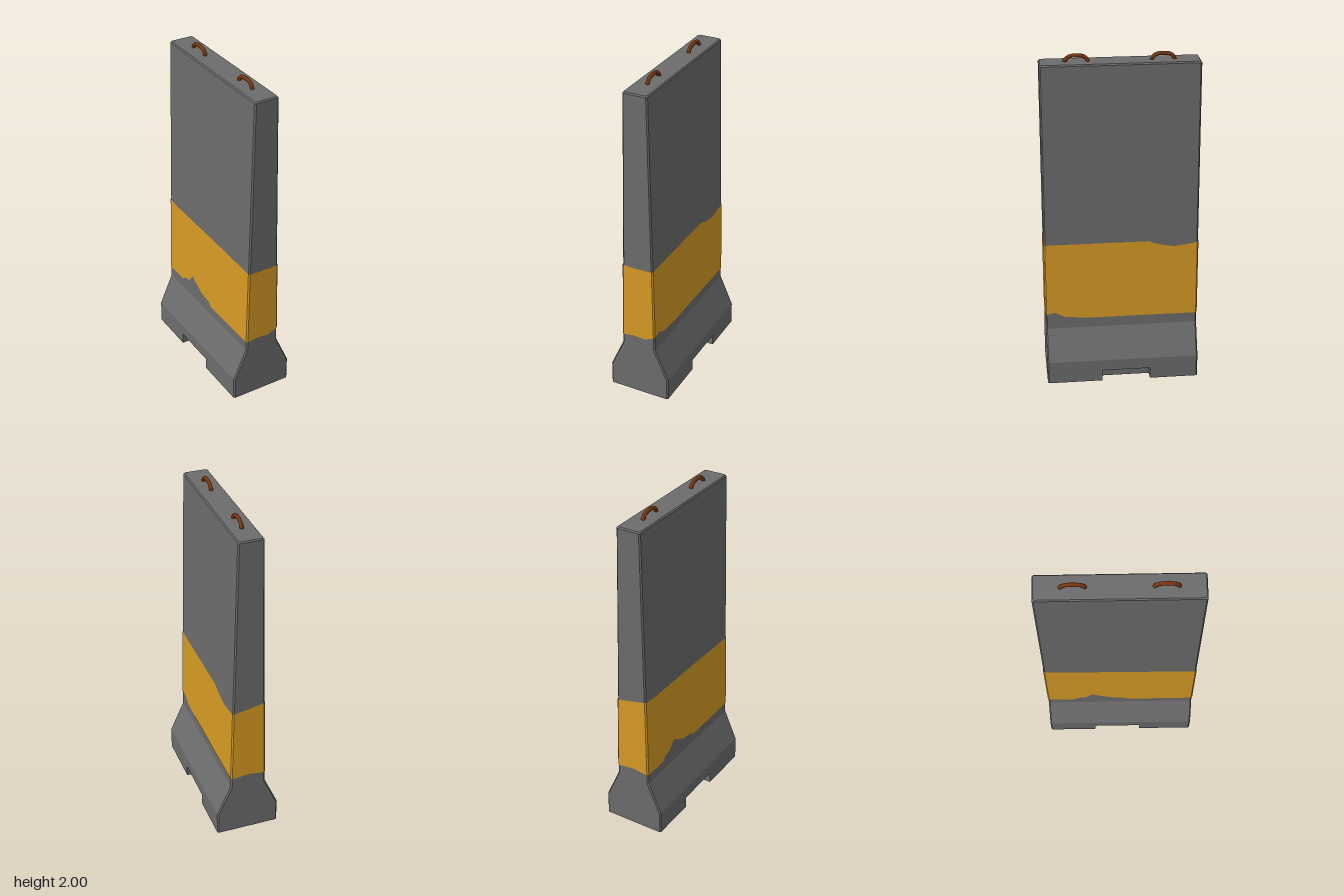
import * as THREE from 'three';

const HL = 0.457; // half length
const CH = 0.008; // corner chamfer

const concrete = new THREE.MeshStandardMaterial({ color: 0x6c6c6c });
concrete.name = 'concrete grey';
const paint = new THREE.MeshStandardMaterial({ color: 0xd69b24, side: THREE.DoubleSide });
paint.name = 'warning yellow';
const rust = new THREE.MeshStandardMaterial({ color: 0x763510 });
rust.name = 'rusty steel';

// Chamfered rectangle running from +x towards +z
function ring(hl, hw, y) {
  const a = hl - CH, b = hw - CH;
  return [[hl, -b], [hl, b], [a, hw], [-a, hw], [-hl, b], [-hl, -b], [-a, -hw], [a, -hw]]
    .map(([x, z]) => new THREE.Vector3(x, y, z));
}

// Skin between stacked closed loops, with hard edges
function loft(rings, caps) {
  const pts = [];
  for (let r = 0; r + 1 < rings.length; r++) {
    const lo = rings[r], hi = rings[r + 1], n = lo.length;
    for (let i = 0; i < n; i++) {
      const j = (i + 1) % n;
      pts.push(lo[i], hi[i], lo[j], lo[j], hi[i], hi[j]);
    }
  }
  if (caps) {
    const bot = rings[0], top = rings[rings.length - 1];
    for (let i = 1; i + 1 < bot.length; i++) {
      pts.push(bot[0], bot[i], bot[i + 1], top[0], top[i + 1], top[i]);
    }
  }
  const g = new THREE.BufferGeometry().setFromPoints(pts);
  g.computeVertexNormals();
  return g;
}

function add(group, name, geometry, material) {
  const mesh = new THREE.Mesh(geometry, material);
  mesh.name = name;
  group.add(mesh);
  return mesh;
}

// Half width of the tapering wall at a height
const wallHalf = (y) => 0.107 - (y - 0.33) * (0.032 / 1.625);

export function createModel() {
  const model = new THREE.Group();
  model.name = 'concreteBarrier';
  const barrier = new THREE.Group();
  barrier.name = 'barrier';
  barrier.rotation.y = -0.368;
  model.add(barrier);

  // Foot with a lifting pocket in each long side
  const W = 0.191, D = 0.058, L = -0.165, R = 0.125, H = 0.07;
  const a = HL - CH, b = W - CH;
  const foot = new THREE.Shape([
    [HL, -b], [HL, b], [a, W], [R, W], [R, W - D], [L, W - D], [L, W], [-a, W],
    [-HL, b], [-HL, -b], [-a, -W], [L, -W], [L, D - W], [R, D - W], [R, -W], [a, -W],
  ].map(([x, z]) => new THREE.Vector2(x, -z)));
  const footGeo = new THREE.ExtrudeGeometry(foot, { depth: H, bevelEnabled: false });
  footGeo.rotateX(-Math.PI / 2);
  add(barrier, 'foot', footGeo, concrete);

  // Flared base and tall tapering wall
  add(barrier, 'wall', loft([
    ring(HL, W, H), ring(HL, W, 0.14), ring(HL, 0.107, 0.33),
    ring(HL - 0.001, 0.075, 1.947), ring(HL - 0.007, 0.069, 1.955),
  ], true), concrete);

  // Painted band with worn edges: x, fraction of wall half width, lower y, upper y
  const band = [
    [HL, -0.92, 0.42, 0.875], [HL, -0.4, 0.395, 0.873], [HL, 0.3, 0.4, 0.873], [HL, 0.92, 0.39, 0.875],
    [a, 1, 0.39, 0.875], [0.05, 1, 0.39, 0.885], [0.02, 1, 0.412, 0.885], [-0.066, 1, 0.425, 0.887],
    [-0.13, 1, 0.458, 0.887], [-0.174, 1, 0.482, 0.888], [-0.215, 1, 0.43, 0.888],
    [-0.27, 1, 0.418, 0.889], [-0.29, 1, 0.393, 0.889], [-0.38, 1, 0.393, 0.89], [-a, 1, 0.393, 0.9],
    [-HL, 0.92, 0.395, 0.9], [-HL, 0, 0.405, 0.88], [-HL, -0.92, 0.393, 0.862],
    [-a, -1, 0.393, 0.86], [-0.4, -1, 0.393, 0.85], [-0.31, -1, 0.393, 0.838], [-0.22, -1, 0.393, 0.855],
    [-0.16, -1, 0.393, 0.877], [0.2, -1, 0.393, 0.877], [0.34, -1, 0.405, 0.877],
    [0.4, -1, 0.435, 0.877], [a, -1, 0.425, 0.876],
  ];
  const edge = (k) => band.map((p) =>
    new THREE.Vector3(p[0] * 1.005, p[k], p[1] * wallHalf(p[k]) * 1.025));
  add(barrier, 'paintedBand', loft([edge(2), edge(3)], false), paint);

  // Lifting loops on top
  const path = new THREE.CatmullRomCurve3([
    [-0.064, 1.93], [-0.062, 1.963], [-0.044, 1.981], [-0.02, 1.988],
    [0.02, 1.988], [0.044, 1.981], [0.062, 1.963], [0.064, 1.93],
  ].map(([x, y]) => new THREE.Vector3(x, y, 0)));
  const loopGeo = new THREE.TubeGeometry(path, 28, 0.0115, 8, false);
  for (const s of [-1, 1]) {
    add(barrier, s > 0 ? 'leftLiftingLoop' : 'rightLiftingLoop', loopGeo, rust).position.x = s * 0.245;
  }
  return model;
}
